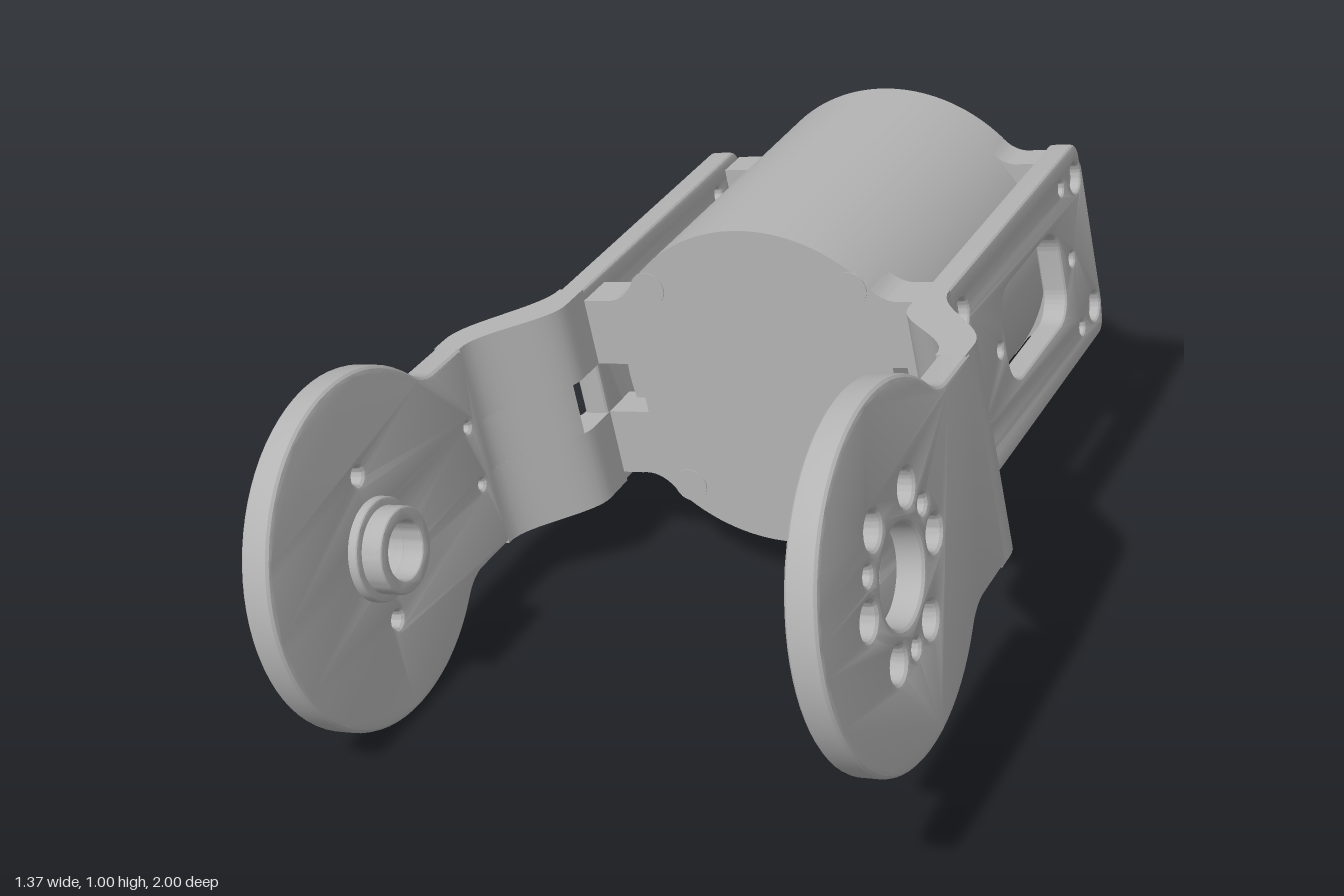
import * as THREE from 'three';
import { toCreasedNormals } from 'three/addons/utils/BufferGeometryUtils.js';

const metal = new THREE.MeshStandardMaterial({ color: 0xb4b4b4 });
metal.name = 'grey metal';

const TILT = THREE.MathUtils.degToRad(12);
const BODY_R = 0.38, DISC_Z = 0.62, HALF = 0.24;

function add(parent, name, geometry) {
  const mesh = new THREE.Mesh(toCreasedNormals(geometry, 0.5), metal);
  mesh.name = name;
  parent.add(mesh);
  return mesh;
}

// Round hole or disc outline
function circle(x, y, r, Type = THREE.Path) {
  const p = new Type();
  p.absarc(x, y, r, 0, Math.PI * 2, false);
  return p;
}

function roundedRect(x0, y0, x1, y1, r, Type = THREE.Path) {
  const p = new Type();
  p.absarc(x1 - r, y1 - r, r, 0, Math.PI / 2, false);
  p.absarc(x0 + r, y1 - r, r, Math.PI / 2, Math.PI, false);
  p.absarc(x0 + r, y0 + r, r, Math.PI, Math.PI * 1.5, false);
  p.absarc(x1 - r, y0 + r, r, Math.PI * 1.5, Math.PI * 2, false);
  p.closePath();
  return p;
}

function extrude(shape, from, to, bevel = 0) {
  const g = new THREE.ExtrudeGeometry(shape, {
    depth: to - from - 2 * bevel, curveSegments: 28, bevelEnabled: bevel > 0,
    bevelSize: bevel, bevelThickness: bevel, bevelOffset: -bevel, bevelSegments: 3,
  });
  return g.translate(0, 0, from + bevel);
}

// Panel drawn in (-z, y), thick along x
const panel = (shape, x0, x1, bevel) => extrude(shape, x0, x1, bevel).rotateY(Math.PI / 2);

// Drum end outline: circle with two notched ears
function capShape() {
  const s = new THREE.Shape();
  const a = 0.72, cx = BODY_R * Math.cos(a), cy = BODY_R * Math.sin(a);
  for (const k of [1, -1]) {
    if (k === 1) s.moveTo(cx, -cy);
    s.quadraticCurveTo(k * 0.315, -k * 0.21, k * 0.36, -k * 0.215);
    for (const [x, y] of [[0.41, -0.215], [0.41, -0.06], [0.31, -0.06], [0.31, 0.06], [0.41, 0.06], [0.41, 0.215], [0.36, 0.215]]) {
      s.lineTo(k * x, k * y);
    }
    s.quadraticCurveTo(k * 0.315, k * 0.21, k * cx, k * cy);
    const start = k === 1 ? a : Math.PI + a;
    s.absarc(0, 0, BODY_R, start, start + Math.PI - 2 * a, false);
  }
  return s;
}

function makeDrum() {
  const drum = new THREE.Group();
  drum.name = 'motorDrum';
  const body = new THREE.CylinderGeometry(BODY_R, BODY_R, 0.71, 96).rotateX(Math.PI / 2);
  add(drum, 'drumBody', body.translate(0, 0, -0.555));
  add(drum, 'frontCap', extrude(capShape(), -0.23, -0.13));

  // Rear cap with a round recess and four sunk screws
  const rear = capShape();
  rear.holes.push(circle(0, 0, 0.265));
  for (const x of [-0.243, 0.243]) {
    for (const y of [-0.243, 0.243]) {
      rear.holes.push(circle(x, y, 0.038));
      const screw = new THREE.CylinderGeometry(0.04, 0.04, 0.004, 24).rotateX(Math.PI / 2);
      add(drum, 'frontScrew', screw.translate(x, y, -0.13));
    }
  }
  add(drum, 'rearCap', extrude(rear, -0.965, -0.88));
  add(drum, 'cablePlug', new THREE.BoxGeometry(0.07, 0.05, 0.12).translate(-0.32, 0, -0.94));
  return drum;
}

// Bent strip joining the rear plate to the wider front disc
function bendPiece(z0, z1, y0, y1) {
  const step = (z, a, b) => THREE.MathUtils.smoothstep(z, a, b);
  const outer = [], inner = [];
  for (let i = 0; i <= 16; i++) {
    const z = z0 + (z1 - z0) * i / 16;
    outer.push(new THREE.Vector2(0.47 + 0.15 * step(z, -0.13, 0.12), -z));
    inner.push(new THREE.Vector2(0.41 + 0.146 * step(z, -0.05, 0.16), -z));
  }
  const shape = new THREE.Shape([...inner, ...outer.reverse()]);
  return extrude(shape, y0, y1).rotateX(-Math.PI / 2);
}

function makeArm(name, discHoles) {
  const arm = new THREE.Group();
  arm.name = name;

  // Rear plate with window, screw holes and pin holes
  const plate = roundedRect(0.11, -HALF, 0.965, HALF, 0.04, THREE.Shape);
  plate.holes.push(roundedRect(0.38, -0.11, 0.76, 0.11, 0.065));
  for (const u of [0.18, 0.92]) {
    for (const y of [-0.163, 0.163]) {
      plate.holes.push(circle(u, y, 0.034));
      const screw = roundedHead();
      add(arm, 'plateScrew', screw.translate(0.43, y, -u));
    }
  }
  for (const [u, y] of [[0.826, 0.175], [0.826, 0], [0.826, -0.175], [0.343, 0]]) {
    plate.holes.push(circle(u, y, 0.016));
  }
  // Square off the end that meets the bend, keeping the cable window open
  const joined = new THREE.Shape();
  joined.moveTo(0.12, -HALF);
  joined.lineTo(0.925, -HALF);
  joined.absarc(0.925, -HALF + 0.04, 0.04, -Math.PI / 2, 0, false);
  joined.absarc(0.925, HALF - 0.04, 0.04, 0, Math.PI / 2, false);
  joined.lineTo(0.12, HALF);
  joined.closePath();
  joined.holes = plate.holes;
  add(arm, 'rearPlate', panel(joined, 0.41, 0.47, 0.01));

  // Bend, split around the cable window
  add(arm, 'bendUpper', bendPiece(-0.135, 0.17, 0.06, HALF));
  add(arm, 'bendLower', bendPiece(-0.135, 0.17, -HALF, -0.06));
  add(arm, 'bendMiddle', bendPiece(-0.02, 0.17, -0.06, 0.06));

  // Round front disc with a short neck
  const c = -DISC_Z, d = 0.38 * Math.SQRT1_2;
  const disc = new THREE.Shape();
  disc.moveTo(-0.15, -HALF);
  disc.lineTo(-0.15, HALF);
  disc.lineTo(-0.28, HALF);
  disc.quadraticCurveTo(-0.32, HALF, c + d, d);
  disc.absarc(c, 0, 0.38, Math.PI / 4, Math.PI * 1.75, false);
  disc.quadraticCurveTo(-0.32, -HALF, -0.28, -HALF);
  disc.closePath();
  disc.holes.push(...discHoles);
  add(arm, 'frontDisc', panel(disc, 0.556, 0.624, 0.014));
  return arm;
}

// Socket screw head lying along x
function roundedHead() {
  const ring = circle(0, 0, 0.034, THREE.Shape);
  const hex = new THREE.Path();
  for (let i = 0; i < 6; i++) {
    const a = i * Math.PI / 3, x = 0.016 * Math.cos(a), y = 0.016 * Math.sin(a);
    if (i) hex.lineTo(x, y); else hex.moveTo(x, y);
  }
  hex.closePath();
  ring.holes.push(hex);
  return panel(ring, -0.015, 0.015, 0);
}

// Ring of bolt holes around the disc centre
function boltHoles(big, small) {
  const holes = [];
  for (let i = 0; i < 6; i++) {
    const a = i * Math.PI / 3;
    holes.push(circle(-DISC_Z + 0.166 * Math.cos(a), 0.166 * Math.sin(a), big));
    if (i % 2 === 0) {
      const b = a + Math.PI / 6;
      holes.push(circle(-DISC_Z + 0.158 * Math.cos(b), 0.158 * Math.sin(b), small));
    }
  }
  return holes;
}

export function createModel() {
  const model = new THREE.Group();
  model.name = 'motorBracket';
  const tilted = new THREE.Group();
  tilted.name = 'tiltedAssembly';
  tilted.rotation.z = TILT;
  tilted.position.y = 0.506;
  model.add(tilted);
  tilted.add(makeDrum());

  // Driven arm: bolt circle with an inner horn
  const driven = makeArm('drivenArm', [...boltHoles(0.036, 0.018), circle(-DISC_Z, 0, 0.1)]);
  const horn = circle(-DISC_Z, 0, 0.25, THREE.Shape);
  horn.holes.push(...boltHoles(0.03, 0.014), circle(-DISC_Z, 0, 0.022));
  add(driven, 'horn', panel(horn, 0.494, 0.565, 0.01));
  tilted.add(driven);

  // Idler arm: turned to the other side, with a bearing collar
  const idler = makeArm('idlerArm', [
    circle(-DISC_Z, 0, 0.06), circle(-DISC_Z, 0.17, 0.018), circle(-DISC_Z, -0.17, 0.018),
    circle(-0.21, 0.07, 0.01), circle(-0.21, -0.07, 0.01),
  ]);
  for (const [name, r, x0, x1] of [['collarFlange', 0.11, 0.535, 0.57], ['collar', 0.092, 0.488, 0.54]]) {
    const ring = circle(-DISC_Z, 0, r, THREE.Shape);
    ring.holes.push(circle(-DISC_Z, 0, 0.062));
    add(idler, name, panel(ring, x0, x1, 0.006));
  }
  idler.rotation.z = Math.PI;
  tilted.add(idler);
  return model;
}
